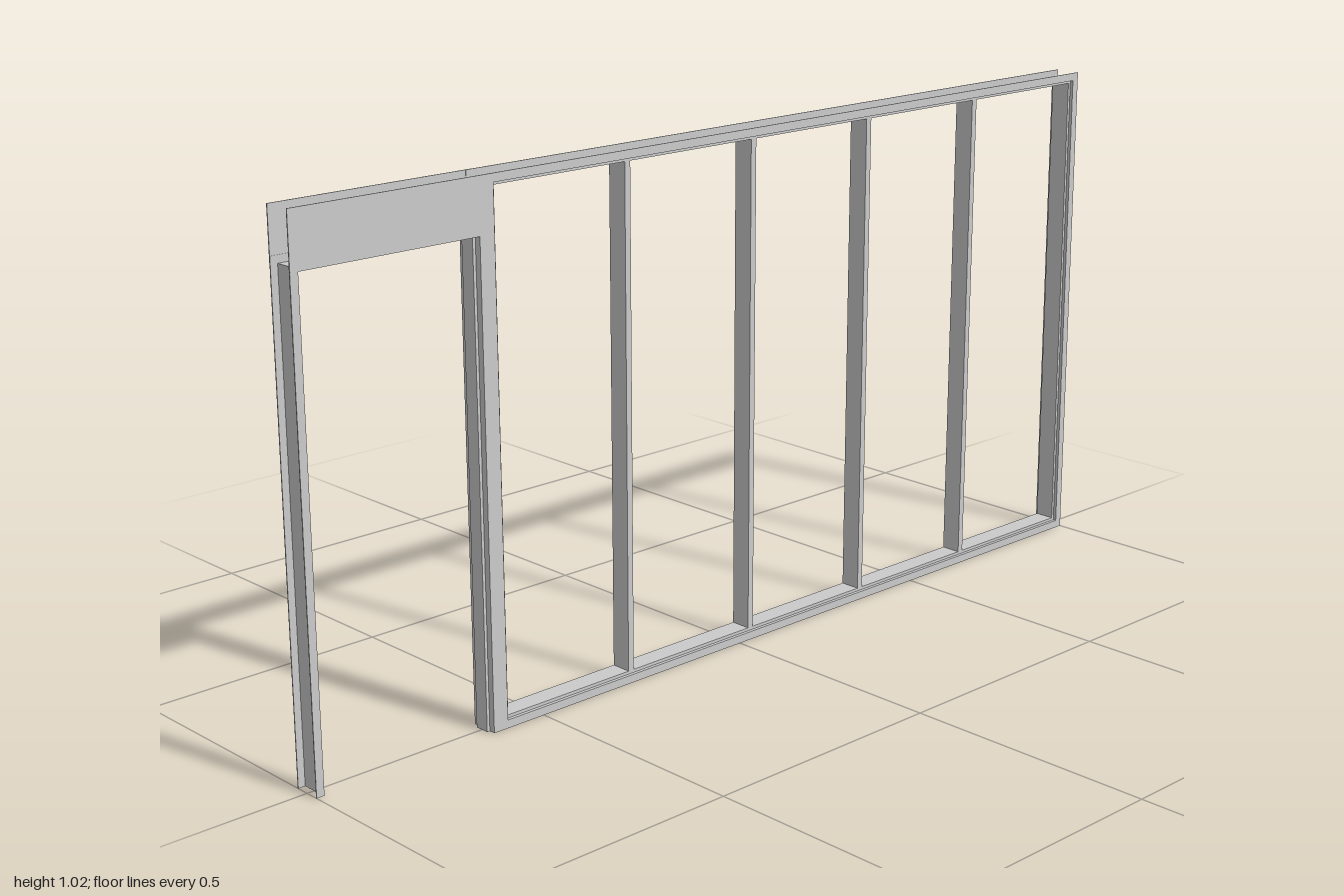
import * as THREE from 'three';

const H = 1.017;      // overall height
const Z = 0.028;      // half depth of the frame
const material = new THREE.MeshStandardMaterial({ color: 0xcccccc, side: THREE.DoubleSide });

function add(group, name, geometry, x = 0, y = 0, z = 0) {
  const mesh = new THREE.Mesh(geometry, material);
  mesh.name = name;
  mesh.position.set(x, y, z);
  group.add(mesh);
  return mesh;
}

const polygon = (points) => points.map(([x, y]) => new THREE.Vector2(x, y));

// Band of the frame between two insets; closed on four sides, or a portal open at the floor
function band([x0, x1, y1], from, to, z0, z1, closed) {
  const rect = (d) => [[x0 + d, d], [x1 - d, d], [x1 - d, y1 - d], [x0 + d, y1 - d]];
  let shape;
  if (closed) {
    shape = new THREE.Shape(polygon(rect(from)));
    shape.holes.push(new THREE.Path(polygon(rect(to))));
  } else {
    shape = new THREE.Shape(polygon([
      [x0 + from, 0], [x0 + to, 0], [x0 + to, y1 - to], [x1 - to, y1 - to],
      [x1 - to, 0], [x1 - from, 0], [x1 - from, y1 - from], [x0 + from, y1 - from],
    ]));
  }
  const geometry = new THREE.ExtrudeGeometry(shape, { depth: z1 - z0, bevelEnabled: false });
  geometry.translate(0, 0, z0);
  return geometry;
}

// Hat-shaped channel section: two outward flanges, a web and a raised middle
function channelFrame(name, outline, closed, middle) {
  const frame = new THREE.Group();
  frame.name = name;
  add(frame, 'frontFlange', band(outline, 0, 0.016, Z - 0.002, Z, closed));
  add(frame, 'backFlange', band(outline, 0, 0.016, -Z, -Z + 0.002, closed));
  add(frame, 'web', band(outline, 0.014, 0.016, -Z + 0.002, Z - 0.002, closed));
  add(frame, 'raisedMiddle', band(outline, 0.016, 0.022, -middle, middle, closed));
  return frame;
}

export function createModel() {
  const model = new THREE.Group();
  model.name = 'partitionFrame';

  // Window wall and doorway, back to back at x = -0.6
  model.add(channelFrame('windowFrame', [-0.6, 1, H], true, 0.021));
  model.add(channelFrame('doorFrame', [-1, -0.6, 0.931], false, 0.015));

  // Thin panels above the doorway, open at the top
  for (const side of [1, -1]) {
    add(model, side > 0 ? 'frontHeaderPanel' : 'backHeaderPanel',
      new THREE.BoxGeometry(0.415, H - 0.912, 0.002), -0.7925, (H + 0.912) / 2, side * (Z - 0.0005));
  }

  // Slightly leaning mullions
  for (let i = 0; i < 4; i++) {
    const mullion = add(model, 'mullion', new THREE.BoxGeometry(0.013, H - 0.04, 0.042),
      -0.277 + 0.3155 * i, H / 2, 0);
    mullion.rotation.z = -0.006;
  }
  return model;
}
